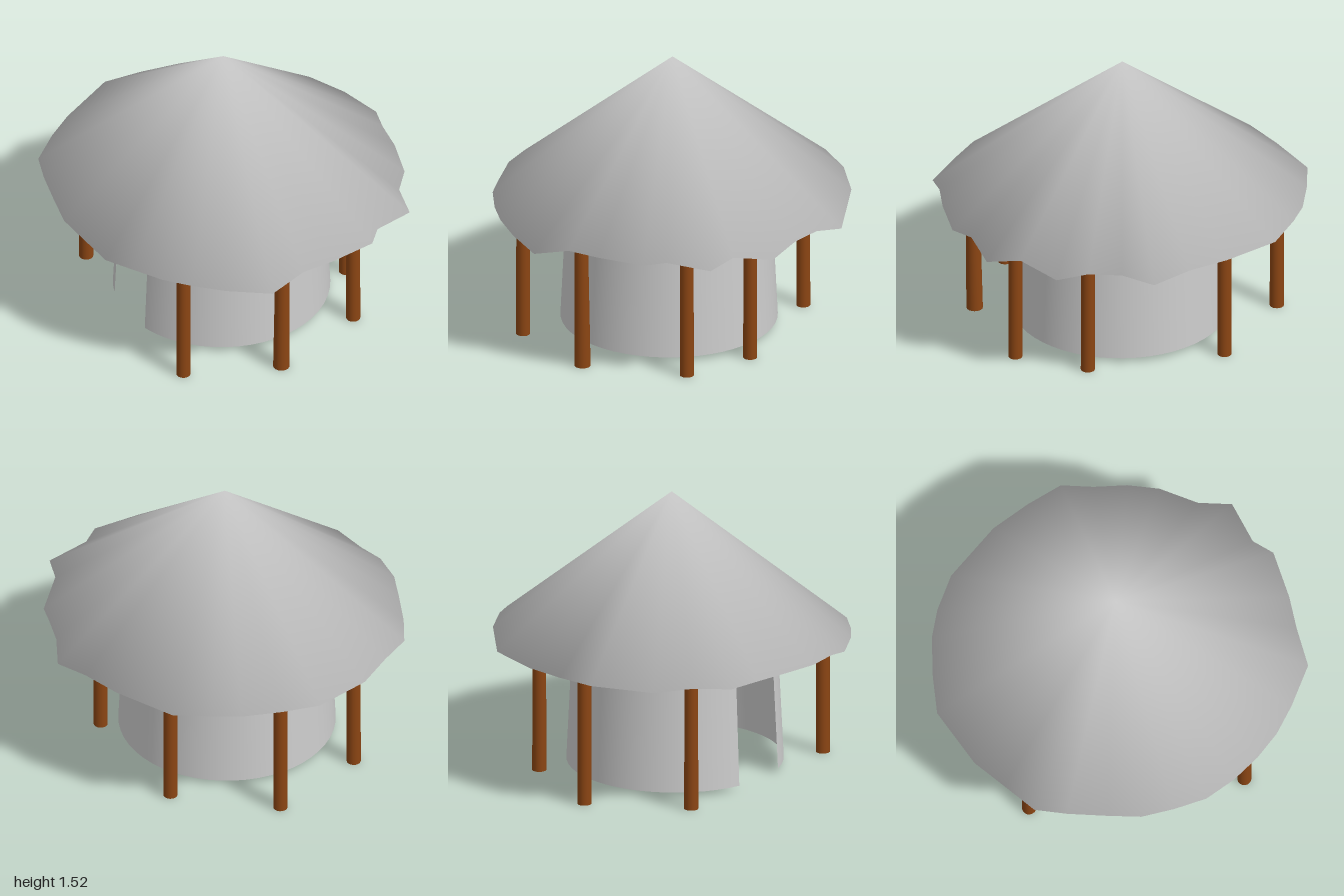
import * as THREE from 'three';

const grey = new THREE.MeshStandardMaterial({ color: 0xcccccc, side: THREE.DoubleSide });
const wood = new THREE.MeshStandardMaterial({ color: 0x8b4513 });
const ROOF_Y = 0.745;

// Ragged eave, walked from the front towards +x: [x, z, drop below the eave line]
const eave = [
  [-0.22, 1.0, 0.055], [-0.02, 0.965, 0], [0.16, 0.95, 0], [0.42, 0.9, 0], [0.5, 0.8, 0],
  [0.73, 0.72, 0.02], [0.755, 0.54, 0], [0.88, 0.35, 0.05], [0.905, 0.18, 0], [0.92, 0, 0],
  [0.965, -0.17, 0.035], [0.87, -0.36, 0], [0.76, -0.56, 0], [0.53, -0.82, 0.02], [0.34, -0.92, 0],
  [0.19, -0.97, 0], [-0.03, -0.995, 0], [-0.24, -1.0, 0], [-0.54, -0.84, 0.02], [-0.7, -0.7, 0],
  [-0.85, -0.56, 0.01], [-0.9, -0.39, 0], [-0.94, -0.18, 0], [-0.97, 0, 0], [-0.95, 0.18, 0],
  [-0.9, 0.36, 0.04], [-0.82, 0.52, 0.02], [-0.71, 0.66, 0.03], [-0.59, 0.78, 0.03], [-0.44, 0.88, 0.045],
];

// Closed cone: a fan up to the peak and a fan across the underside, sharing smooth normals
function roofGeometry() {
  const n = eave.length, peak = n, under = n + 1;
  const points = eave.map(([x, z, drop]) => [x, ROOF_Y - drop, z]);
  points.push([-0.02, 1.525, -0.01], [-0.02, ROOF_Y, -0.01]);
  const index = [];
  for (let i = 0; i < n; i++) {
    const j = (i + 1) % n;
    index.push(i, j, peak, j, i, under);
  }
  const g = new THREE.BufferGeometry();
  g.setAttribute('position', new THREE.Float32BufferAttribute(points.flat(), 3));
  g.setIndex(index);
  g.computeVertexNormals();
  return g;
}

// Post standing at x, z; may lean and thicken towards the ground
function post(x, z, leanZ = 0, bottom = 0.038) {
  const g = new THREE.CylinderGeometry(0.037, bottom, ROOF_Y, 16);
  const p = g.attributes.position;
  for (let i = 0; i < p.count; i++) p.setZ(i, p.getZ(i) + leanZ * (p.getY(i) / ROOF_Y + 0.5));
  const m = new THREE.Mesh(g, wood);
  m.position.set(x, ROOF_Y / 2, z);
  m.name = 'post';
  return m;
}

export function createModel() {
  const model = new THREE.Group();
  model.name = 'hut';

  const roof = new THREE.Mesh(roofGeometry(), grey);
  roof.name = 'roof';
  model.add(roof);

  // Round wall, slightly tapered, with a doorway on the -x side
  const deg = Math.PI / 180;
  const wall = new THREE.Mesh(
    new THREE.CylinderGeometry(0.545, 0.58, 0.72, 48, 1, true, 289 * deg, 325 * deg), grey);
  wall.position.set(-0.035, 0.385, 0);
  wall.name = 'wall';
  model.add(wall);

  // Ring of posts under the eave
  const posts = new THREE.Group();
  posts.name = 'posts';
  posts.add(
    post(-0.06, 0.777, 0.013, 0.044),
    post(0.47, 0.565),
    post(0.615, 0.18),
    post(0.455, -0.55),
    post(-0.07, -0.835),
    post(-0.57, -0.55),
    post(-0.56, 0.61),
  );
  model.add(posts);
  return model;
}
